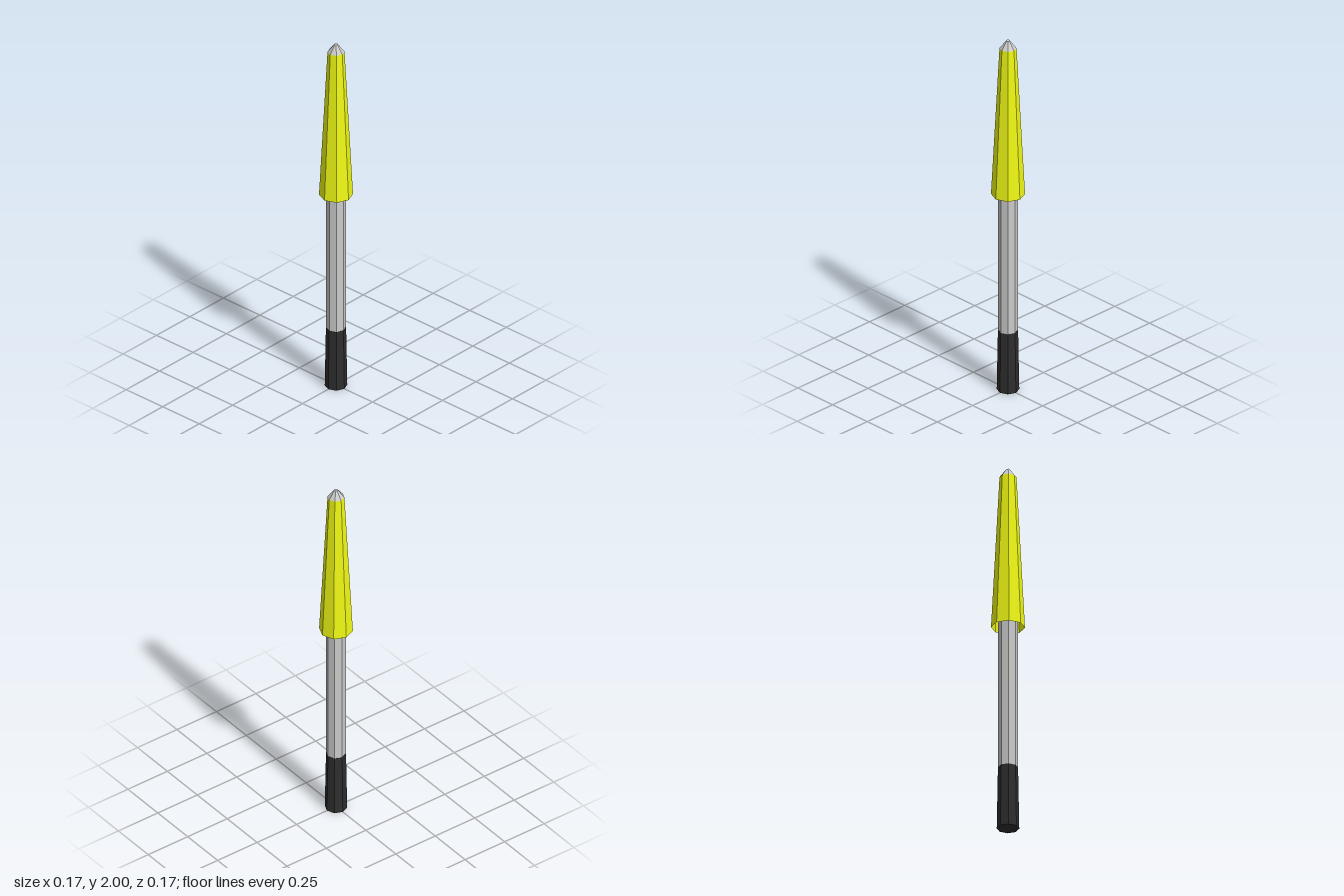
import * as THREE from 'three';

const SIDES = 8;

// Eight-sided section between two heights
function section(name, color, rTop, rBottom, y0, y1, open = false) {
  const geometry = new THREE.CylinderGeometry(rTop, rBottom, y1 - y0, SIDES, 1, open);
  geometry.translate(0, (y0 + y1) / 2, 0);
  const material = new THREE.MeshStandardMaterial({
    color,
    flatShading: true,
    side: open ? THREE.DoubleSide : THREE.FrontSide,
  });
  const mesh = new THREE.Mesh(geometry, material);
  mesh.name = name;
  return mesh;
}

export function createModel() {
  const model = new THREE.Group();
  model.name = 'foldedUmbrella';
  model.add(
    section('handle', 0x2e2e2e, 0.051, 0.057, 0, 0.34),
    // the pole ends inside the canopy, below where it narrows
    section('pole', 0xcccccc, 0.05, 0.05, 0.34, 1.78),
    // folded canopy, open underneath
    section('canopy', 0xf0fa14, 0.043, 0.086, 1.12, 1.957, true),
    section('tip', 0xcccccc, 0.01, 0.043, 1.957, 2),
  );
  return model;
}
